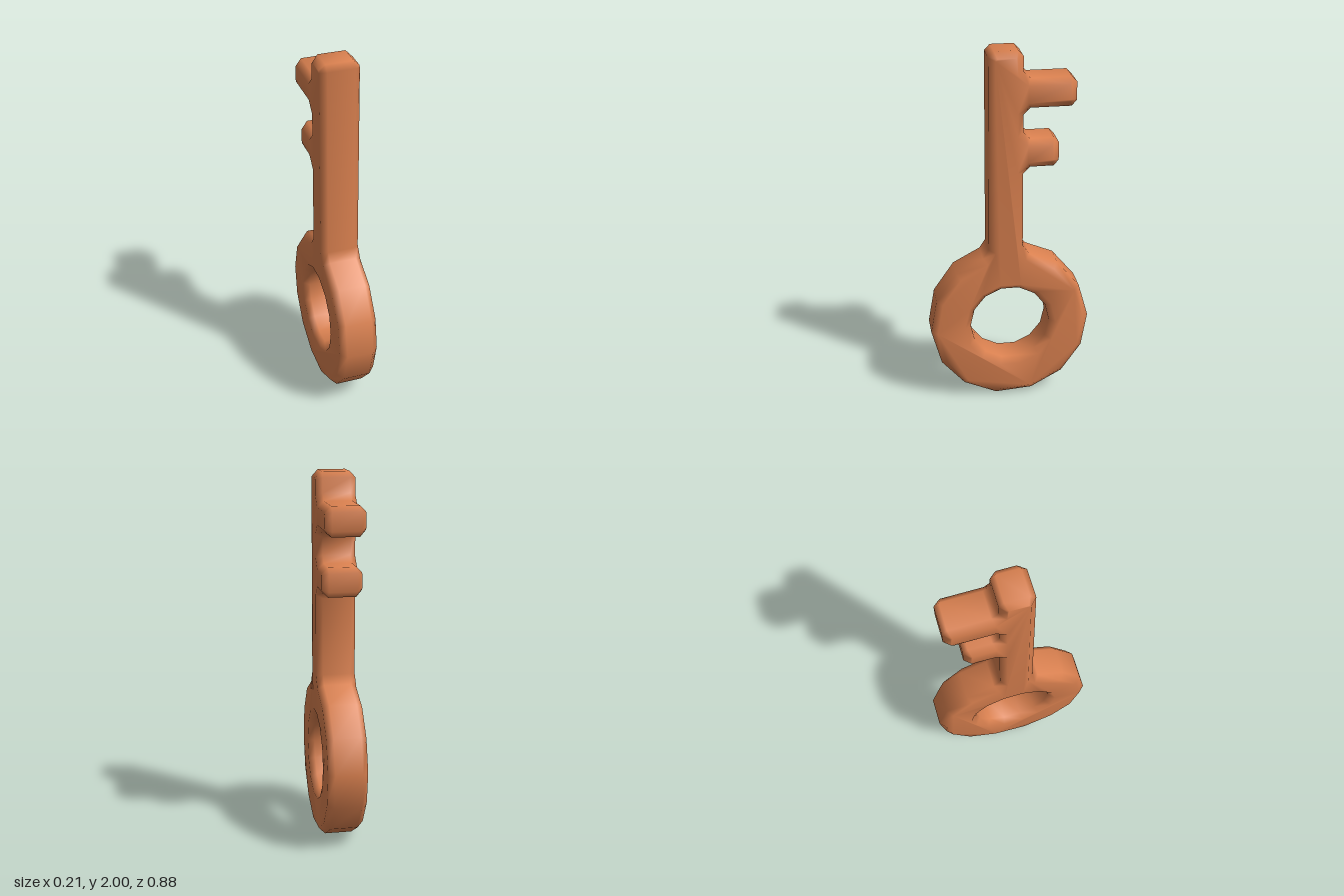
import * as THREE from 'three';
import { mergeVertices } from 'three/addons/utils/BufferGeometryUtils.js';

const HALF_WIDTH = 0.107;
const BEVEL = 0.033;

export function createModel() {
  const group = new THREE.Group();
  group.name = 'key';
  const copper = new THREE.MeshStandardMaterial({ color: 0xd9804f });
  copper.name = 'copper';

  // Side outline as [towards the back, up]
  const shank = [[-0.116, 0.90], [-0.113, 1.97], [-0.083, 2.0], [0.043, 2.0], [0.07, 1.97]];
  // Each tooth: tip, top, bottom, with chamfered corners and roots
  const tooth = (tip, top, bottom) => [
    [0.07, top + 0.036], [0.106, top], [tip - 0.027, top], [tip, top - 0.029],
    [tip, bottom + 0.031], [tip - 0.027, bottom], [0.106, bottom], [0.07, bottom - 0.036],
  ];
  // Faceted ring round the bow, from the back of the shank to its front
  const bow = [
    [0.07, 0.915], [0.106, 0.865], [0.262, 0.80], [0.387, 0.65], [0.44, 0.463],
    [0.407, 0.273], [0.296, 0.114], [0.122, 0.018], [-0.08, 0.004], [-0.26, 0.083],
    [-0.386, 0.225], [-0.44, 0.42], [-0.407, 0.61], [-0.296, 0.77], [-0.148, 0.85],
  ];
  const outline = [...shank, ...tooth(0.35, 1.853, 1.695), ...tooth(0.26, 1.527, 1.37), ...bow];
  const shape = new THREE.Shape(outline.map(([a, y]) => new THREE.Vector2(a, y)));

  // Fourteen-sided hole through the bow
  const hole = [];
  for (let i = 0; i < 14; i++) {
    const t = (i / 14) * Math.PI * 2;
    hole.push(new THREE.Vector2(0.22 * Math.cos(t), 0.447 + 0.22 * Math.sin(t)));
  }
  shape.holes.push(new THREE.Path(hole));

  // Bevelled slab, turned so its thickness runs along x
  const depth = 2 * (HALF_WIDTH - BEVEL);
  let geometry = new THREE.ExtrudeGeometry(shape, {
    depth, bevelEnabled: true, bevelThickness: BEVEL, bevelSize: BEVEL,
    bevelOffset: -BEVEL, bevelSegments: 1,
  });
  geometry.translate(0, 0, -depth / 2);
  geometry.rotateY(Math.PI / 2);

  // Share vertices for soft shading over the bevels
  geometry.deleteAttribute('uv');
  geometry.deleteAttribute('normal');
  geometry.clearGroups();
  geometry = mergeVertices(geometry, 1e-4);
  geometry.computeVertexNormals();

  const body = new THREE.Mesh(geometry, copper);
  body.name = 'keyBody';
  group.add(body);
  return group;
}
